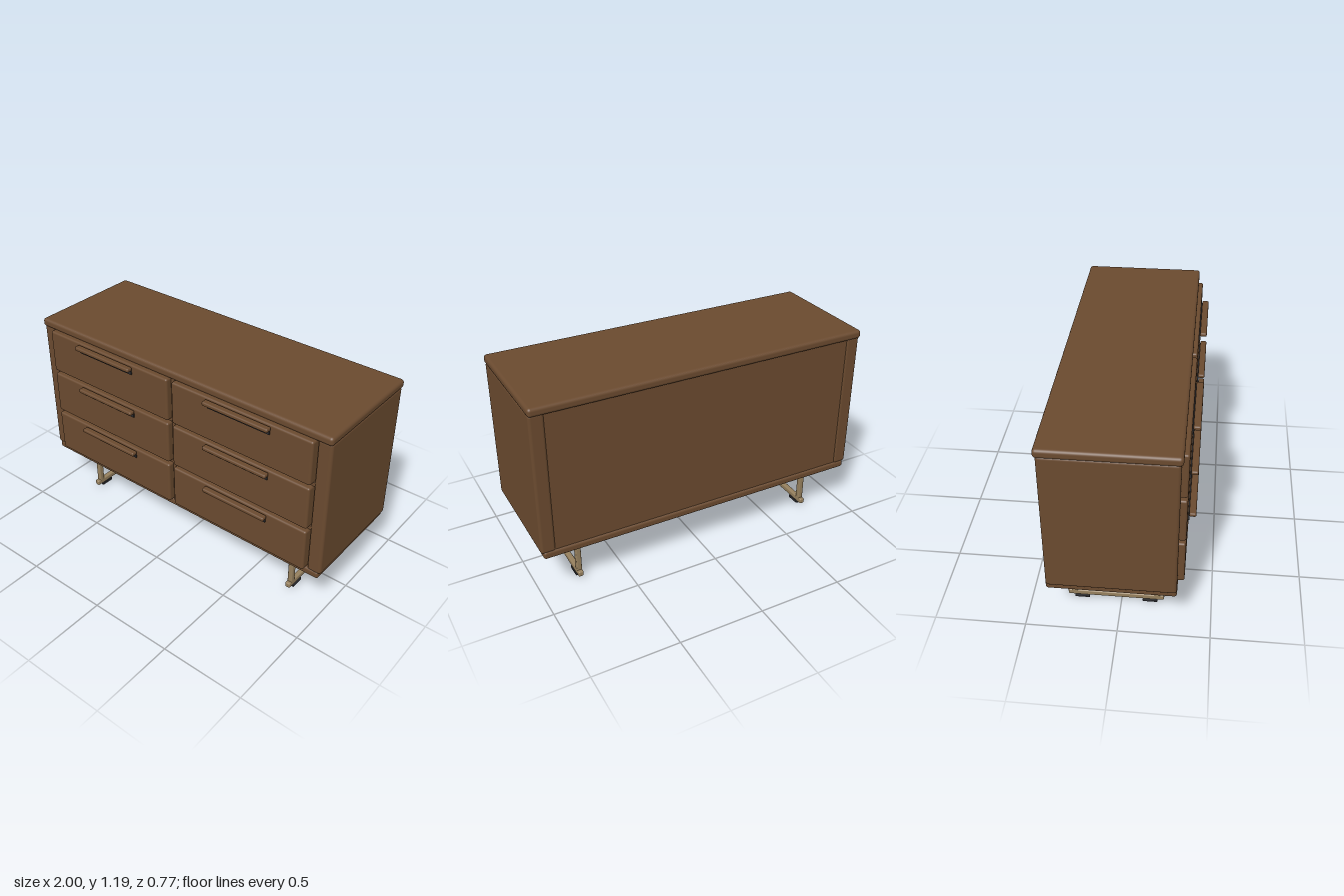
import * as THREE from 'three';
import { RoundedBoxGeometry } from 'three/addons/geometries/RoundedBoxGeometry.js';

const material = (name, color) => {
  const m = new THREE.MeshStandardMaterial({ color });
  m.name = name;
  return m;
};

export function createModel() {
  const wood = material('walnut wood', 0x6a4a2f);
  const brass = material('aged brass', 0x957f5d);
  const black = material('black', 0x2b2b2e);
  const model = new THREE.Group();
  model.name = 'dresser';

  // Box given by its extents on each axis, with softened edges when radius > 0
  const box = (name, mat, [x0, x1], [y0, y1], [z0, z1], radius = 0, parent = model) => {
    const size = [x1 - x0, y1 - y0, z1 - z0];
    const geometry = radius
      ? new RoundedBoxGeometry(...size, 3, radius)
      : new THREE.BoxGeometry(...size);
    const mesh = new THREE.Mesh(geometry, mat);
    mesh.name = name;
    mesh.position.set((x0 + x1) / 2, (y0 + y1) / 2, (z0 + z1) / 2);
    parent.add(mesh);
    return mesh;
  };

  // Cabinet shell
  box('top', wood, [-1, 1], [1.143, 1.193], [-0.385, 0.322], 0.018);
  box('base', wood, [-0.983, 0.983], [0.272, 0.318], [-0.376, 0.313], 0.015);
  box('backPanel', wood, [-0.93, 0.93], [0.3, 1.16], [-0.366, -0.34]);
  box('innerCase', wood, [-0.93, 0.93], [0.3, 1.16], [-0.345, 0.29]);
  box('centreDivider', wood, [-0.014, 0.014], [0.312, 1.15], [0.2, 0.312], 0.004);

  // Drawer columns, sides and legs, one set for each half
  for (const s of [-1, 1]) {
    const span = (a, b) => (s > 0 ? [a, b] : [-b, -a]);
    const side = s > 0 ? 'left' : 'right';

    box(side + 'Side', wood, span(0.913, 0.997), [0.31, 1.152], [-0.373, 0.312], 0.016);

    for (const [row, top] of [1.147, 0.866, 0.584].entries()) {
      const drawer = new THREE.Group();
      drawer.name = `${side}Drawer${row + 1}`;
      model.add(drawer);
      box('drawerFront', wood, span(0.015, 0.91), [top - 0.262, top], [0.28, 0.347], 0.012, drawer);
      box('handleLip', wood, span(0.257, 0.67), [top - 0.029, top - 0.005], [0.352, 0.39], 0.009, drawer);
      box('handlePlate', black, span(0.267, 0.66), [top - 0.058, top - 0.017], [0.345, 0.354], 0, drawer);
      // Rail seen in the gap below the drawer
      if (row < 2) box('rail', wood, span(0.01, 0.92), [top - 0.285, top - 0.258], [0.2, 0.308], 0.003, drawer);
    }

    // Sled leg frame with two feet
    const frame = new THREE.Group();
    frame.name = side + 'LegFrame';
    model.add(frame);
    const legX = span(0.74, 0.771);
    box('frontLeg', brass, legX, [0.03, 0.28], [0.183, 0.216], 0.007, frame);
    box('backLeg', brass, legX, [0.03, 0.28], [-0.278, -0.245], 0.007, frame);
    box('floorBar', brass, legX, [0.016, 0.049], [-0.3, 0.237], 0.008, frame);
    box('frontFoot', black, span(0.737, 0.774), [0, 0.018], [0.118, 0.2], 0.004, frame);
    box('backFoot', black, span(0.737, 0.774), [0, 0.018], [-0.262, -0.18], 0.004, frame);
  }
  return model;
}
